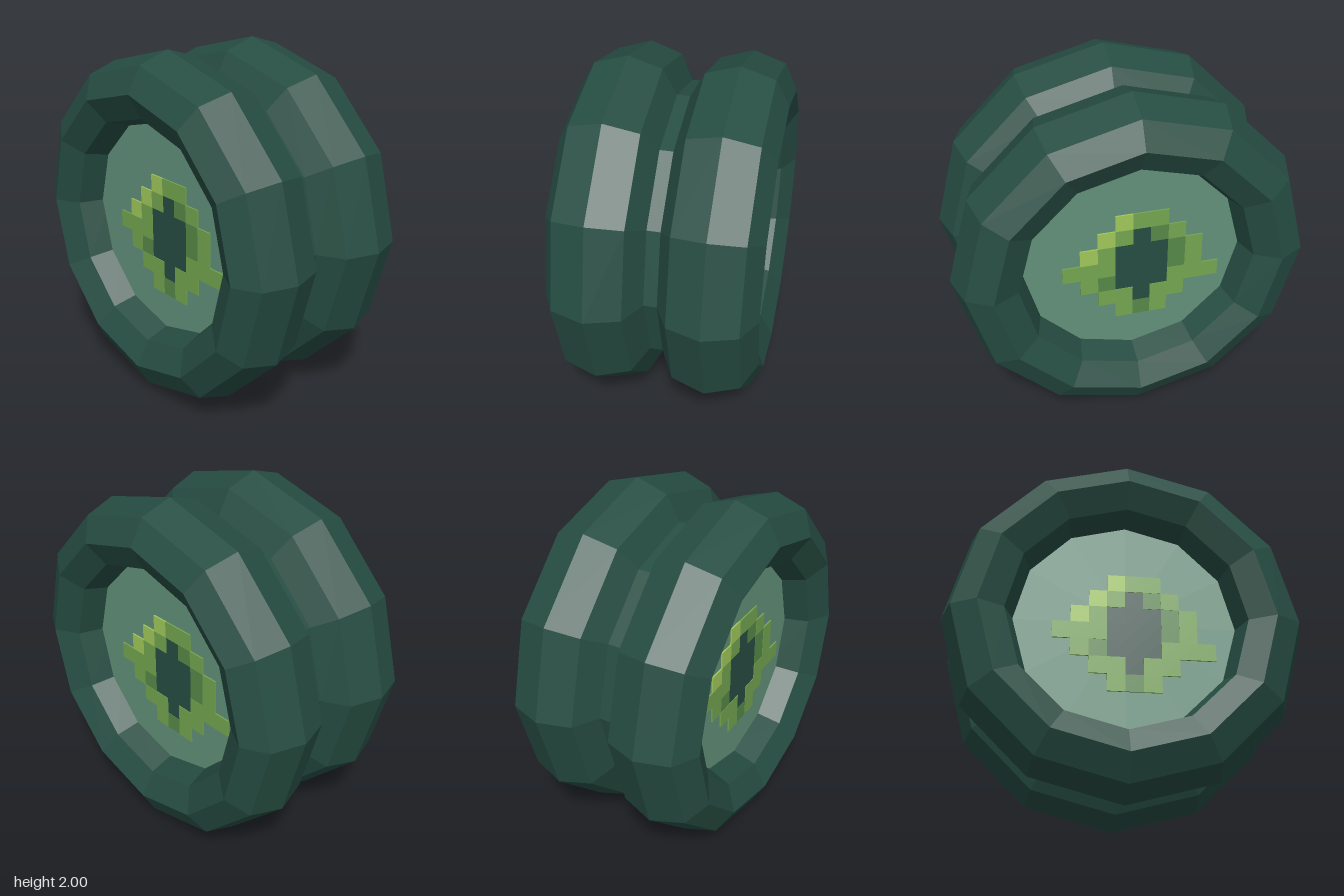
import * as THREE from 'three';
import { mergeGeometries } from 'three/addons/utils/BufferGeometryUtils.js';

const material = (name, color) => {
  const m = new THREE.MeshStandardMaterial({ color, flatShading: true });
  m.name = name;
  return m;
};

export function createModel() {
  const body = material('dark teal', 0x264d42);
  const plate = material('sage green', 0x62917a);
  const lime = material('lime', 0xa0c95a);
  const leaf = material('leaf green', 0x74a550);
  const moss = material('moss green', 0x568947);

  const model = new THREE.Group();
  model.name = 'yoyo';
  const add = (parent, name, geometry, mat) => {
    const mesh = new THREE.Mesh(geometry, mat);
    mesh.name = name;
    parent.add(mesh);
  };

  // Axle joining the two halves
  add(model, 'axle', new THREE.CylinderGeometry(0.8, 0.8, 0.16, 12).rotateZ(-Math.PI / 2), body);

  // Eight-sided oval section of each half's rim
  const section = [];
  for (let i = 0; i <= 8; i++) {
    const a = (i / 8) * Math.PI * 2;
    section.push(new THREE.Vector2(0.8 + 0.2 * Math.cos(a), 0.3 + 0.264 * Math.sin(a)));
  }

  // Emblem in 0.1 squares: l lime, m leaf, d moss, c dark centre
  const emblem = [
    '...lmm...',
    '..lmcdm..',
    '.lmcccdm.',
    'mmmcccdm.',
    '.mdcccmmm',
    '..mmcmm..',
    '...mdm...',
  ];
  const face = 0.348;
  const inks = {
    l: ['emblemHighlight', lime, 0.009],
    m: ['emblemRing', leaf, 0.009],
    d: ['emblemShade', moss, 0.007],
    c: ['emblemCentre', body, 0.005],
  };

  for (const side of ['left', 'right']) {
    const half = new THREE.Group();
    half.name = side + 'Half';
    add(half, 'rim', new THREE.LatheGeometry(section, 12).rotateZ(-Math.PI / 2), body);
    add(half, 'sidePlate',
      new THREE.CylinderGeometry(0.616, 0.616, 0.1, 12).rotateZ(-Math.PI / 2).translate(face - 0.05, 0, 0), plate);

    for (const [key, [name, mat, depth]] of Object.entries(inks)) {
      const squares = [];
      emblem.forEach((row, r) => [...row].forEach((ch, c) => {
        if (ch !== key) return;
        squares.push(new THREE.BoxGeometry(depth, 0.1, 0.1)
          .translate(face + depth / 2, 0.25 - 0.1 * r, 0.35 - 0.1 * c));
      }));
      add(half, name, mergeGeometries(squares), mat);
    }
    // The second half is the first turned about the vertical axis
    if (side === 'right') half.rotation.y = Math.PI;
    model.add(half);
  }

  model.children.forEach((part) => { part.position.y = 1; });
  return model;
}
